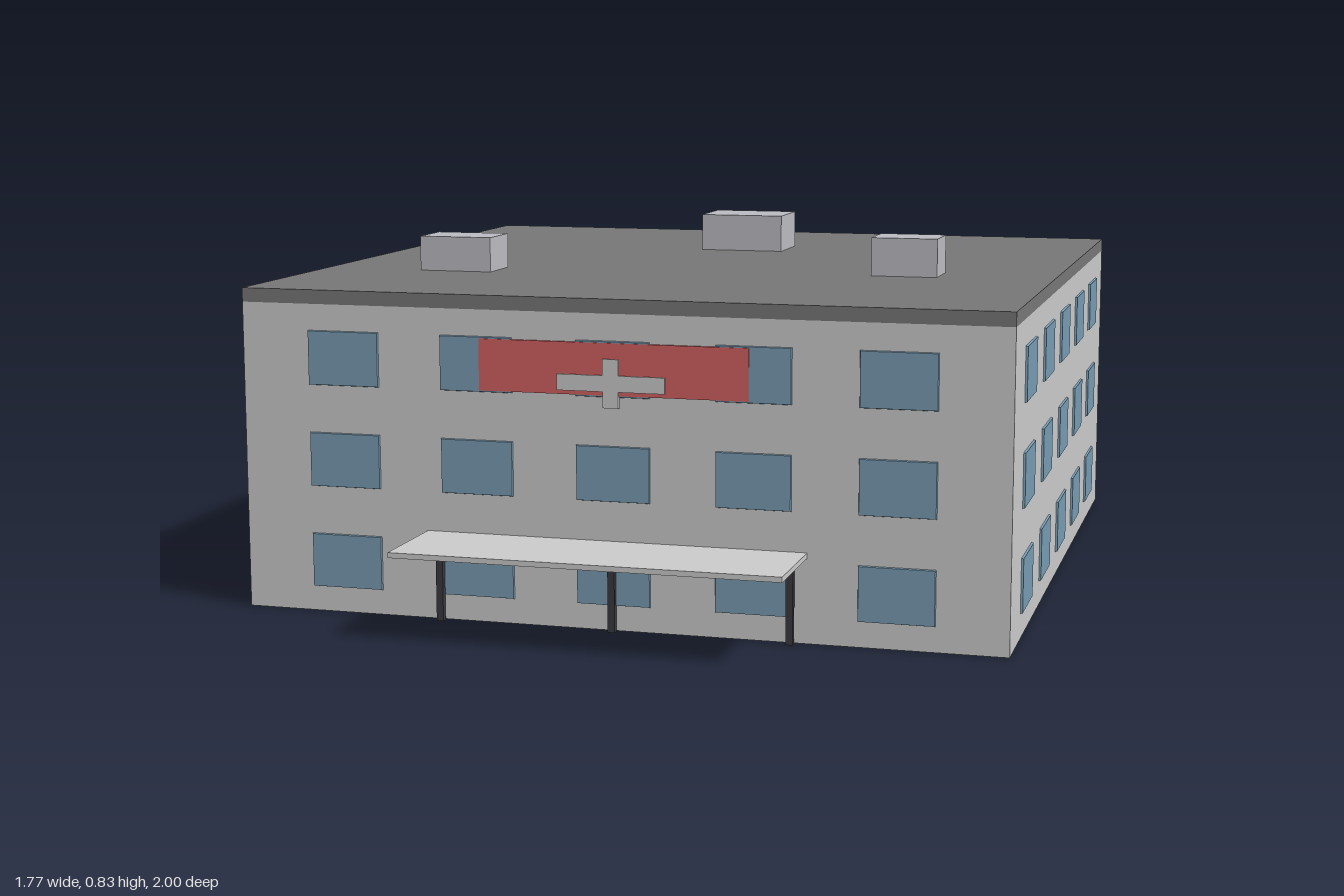
import * as THREE from 'three';

const mat = (color) => new THREE.MeshStandardMaterial({ color, flatShading: true });

export function createModel() {
  const group = new THREE.Group();
  const wall = mat(0xcccccc), roofGrey = mat(0x777777), glass = mat(0x789bb2);
  const red = mat(0xd36060), dark = mat(0x3a3a40), metal = mat(0xbbbcc2);
  const HALF = 0.88, CZ = -0.114;

  // Box given by its minimum and maximum corners
  function box(name, material, [x0, y0, z0], [x1, y1, z1]) {
    const mesh = new THREE.Mesh(new THREE.BoxGeometry(x1 - x0, y1 - y0, z1 - z0), material);
    mesh.position.set((x0 + x1) / 2, (y0 + y1) / 2, (z0 + z1) / 2);
    mesh.name = name;
    group.add(mesh);
    return mesh;
  }

  // Main block and flat roof slab
  box('walls', wall, [-HALF, 0, CZ - HALF], [HALF, 0.708, CZ + HALF]);
  box('roof', roofGrey, [-HALF, 0.708, CZ - HALF], [HALF, 0.74, CZ + HALF]);

  // Window pane: a thin box whose outer face is chamfered inwards
  const pane = new THREE.BoxGeometry(0.174, 0.128, 0.012);
  const p = pane.attributes.position;
  for (let i = 0; i < p.count; i++) {
    if (p.getZ(i) > 0) p.setXY(i, p.getX(i) * 0.96, p.getY(i) * 0.95);
  }
  pane.computeVertexNormals();

  // Three floors of five windows on each of the four facades
  ['front', 'left', 'back', 'right'].forEach((side, s) => {
    const facade = new THREE.Group();
    facade.name = side + 'Windows';
    facade.position.z = CZ;
    facade.rotation.y = s * Math.PI / 2;
    for (const y of [0.119, 0.353, 0.586]) {
      for (let c = -2; c <= 2; c++) {
        const w = new THREE.Mesh(pane, glass);
        w.name = 'window';
        w.position.set(c * 0.3175, y, HALF - 0.001);
        facade.add(w);
      }
    }
    group.add(facade);
  });

  // Red sign panel with a pale cross
  const face = CZ + HALF;
  box('signPanel', red, [-0.308, 0.528, face - 0.002], [0.308, 0.644, face + 0.007]);
  const cross = new THREE.Shape();
  const a = 0.123, t = 0.018, v = 0.054;
  [[-t, -v], [t, -v], [t, -t], [a, -t], [a, t], [t, t], [t, v], [-t, v], [-t, t], [-a, t], [-a, -t], [-t, -t]]
    .forEach(([x, y], i) => (i ? cross.lineTo(x, y) : cross.moveTo(x, y)));
  const crossMesh = new THREE.Mesh(
    new THREE.ExtrudeGeometry(cross, { depth: 0.012, bevelEnabled: false }), wall);
  crossMesh.name = 'signCross';
  crossMesh.position.set(-0.002, 0.555, face - 0.001);
  group.add(crossMesh);

  // Entrance canopy on slim posts
  box('canopy', wall, [-0.438, 0.19, face - 0.005], [0.438, 0.202, 1]);
  for (const x of [-0.404, 0, 0.404]) {
    box('canopyPost', dark, [x - 0.008, 0, 0.774], [x + 0.008, 0.19, 0.788]);
  }

  // Rooftop ventilation units
  box('roofUnit', metal, [-0.635, 0.74, 0.171], [-0.455, 0.823, 0.296]);
  box('roofUnit', metal, [-0.115, 0.74, -0.564], [0.1, 0.833, -0.402]);
  box('roofUnit', metal, [0.449, 0.74, 0.021], [0.607, 0.831, 0.141]);

  return group;
}
